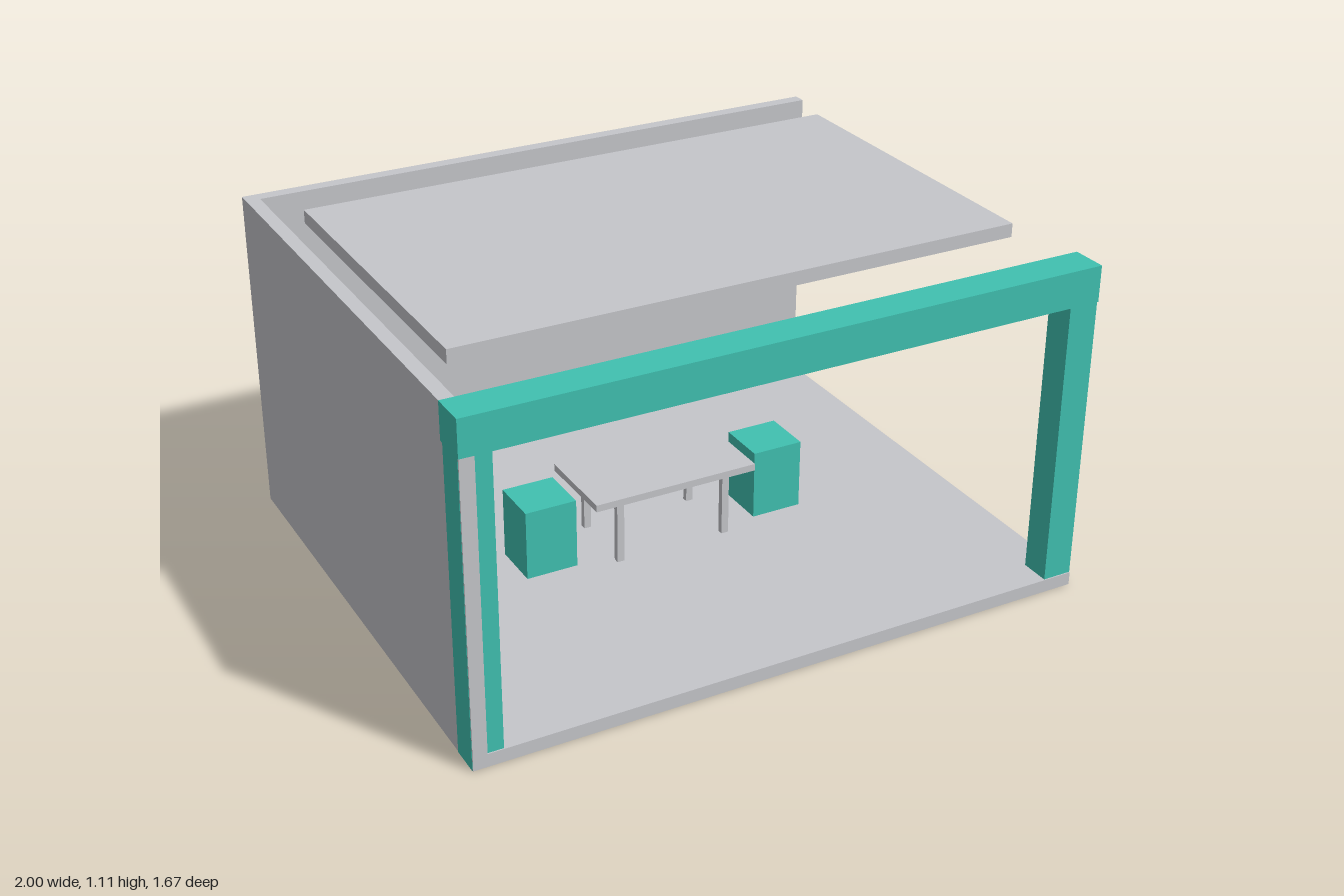
import * as THREE from 'three';

const grey = new THREE.MeshStandardMaterial({ color: 0xc5c6ca });
grey.name = 'light grey';
const teal = new THREE.MeshStandardMaterial({ color: 0x40c1b1 });
teal.name = 'teal';

// Box given by its extents along each axis
function block(parent, name, material, [x0, x1], [y0, y1], [z0, z1]) {
  const mesh = new THREE.Mesh(new THREE.BoxGeometry(x1 - x0, y1 - y0, z1 - z0), material);
  mesh.position.set((x0 + x1) / 2, (y0 + y1) / 2, (z0 + z1) / 2);
  mesh.name = name;
  parent.add(mesh);
}

export function createModel() {
  const model = new THREE.Group();
  model.name = 'openBooth';
  const floorTop = 0.043;
  const wallTop = 1.07;

  // Floor and the two walls, set in a hair so the frame shows on shared faces
  block(model, 'floor', grey, [-0.999, 0.999], [0.001, floorTop], [-0.833, 0.833]);
  block(model, 'backWall', grey, [-0.999, 0.999], [floorTop, wallTop], [-0.833, -0.79]);
  block(model, 'rightWall', grey, [-0.999, -0.955], [floorTop, wallTop], [-0.79, 0.833]);

  // Front frame: two posts carrying a beam
  block(model, 'rightPost', teal, [-1, -0.905], [0, 0.957], [0.733, 0.829]);
  block(model, 'leftPost', teal, [0.905, 1], [0.002, 0.957], [0.733, 0.829]);
  block(model, 'frontBeam', teal, [-1, 1], [0.957, 1.071], [0.72, 0.834]);

  // Raised ceiling panel
  block(model, 'ceilingPanel', grey, [-0.9, 0.9], [wallTop, 1.113], [-0.54, 0.54]);

  // Table with a seat at either end
  const furniture = new THREE.Group();
  furniture.name = 'furniture';
  furniture.position.x = -0.003;
  model.add(furniture);
  block(furniture, 'tableTop', grey, [-0.278, 0.278], [0.255, 0.278], [-0.148, 0.148]);
  for (const sx of [-1, 1]) {
    for (const sz of [-1, 1]) {
      const x = sx * 0.185, z = sz * 0.116;
      block(furniture, 'tableLeg', grey, [x - 0.012, x + 0.012], [floorTop, 0.255], [z - 0.01, z + 0.01]);
    }
    const seatX = sx * 0.4;
    block(furniture, 'seat', teal, [seatX - 0.085, seatX + 0.085], [floorTop, 0.273], [-0.083, 0.083]);
  }

  return model;
}
